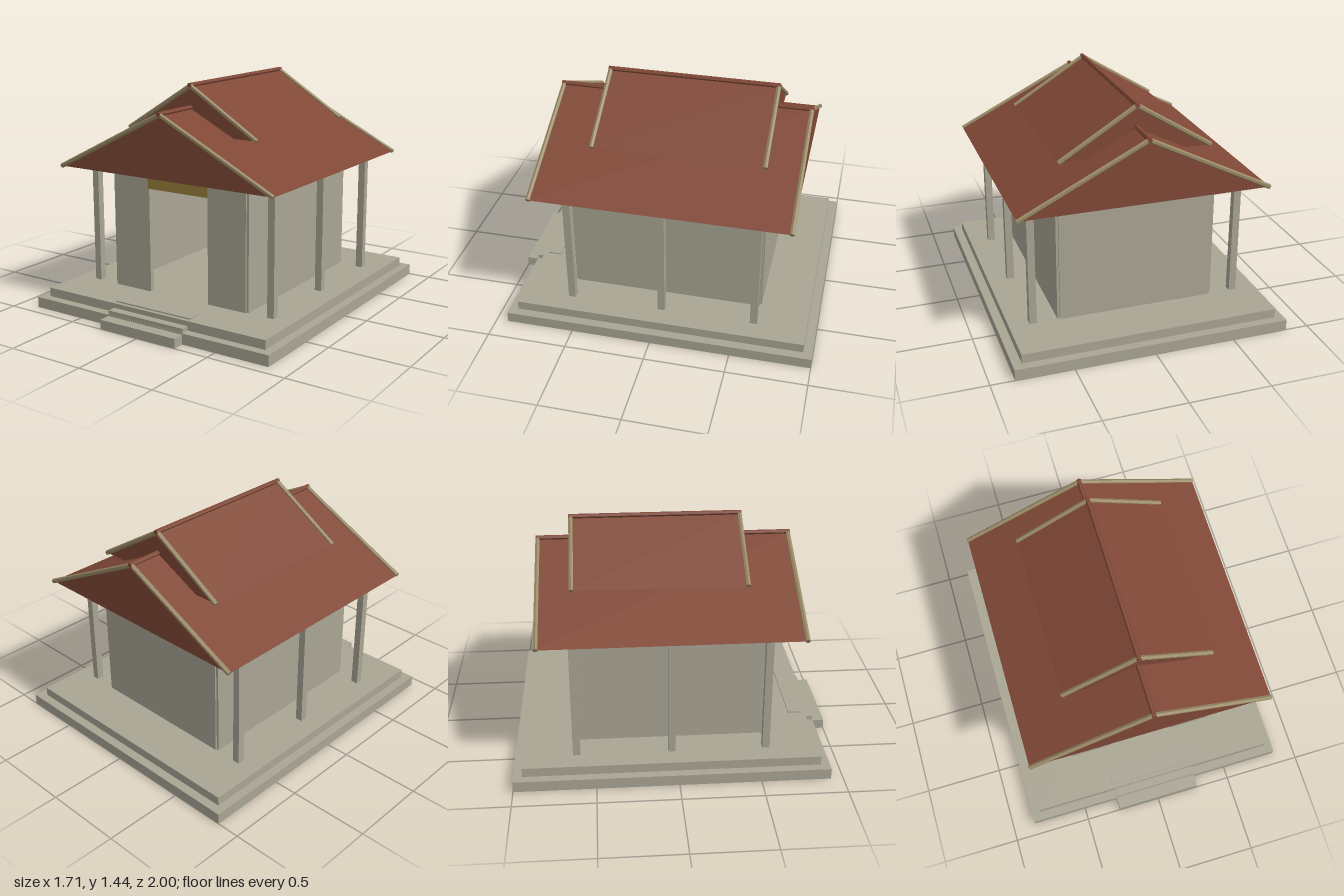
import * as THREE from 'three';

const stone = new THREE.MeshStandardMaterial({ color: 0xa9a594 });
const tile = new THREE.MeshStandardMaterial({ color: 0x804836, flatShading: true });
const trim = new THREE.MeshStandardMaterial({ color: 0x998a66, flatShading: true });
const gold = new THREE.MeshStandardMaterial({ color: 0x9a7f3c });

export function createModel() {
  const group = new THREE.Group();

  // Box given by its lower and upper limits on each axis
  const box = (name, [x0, x1], [y0, y1], [z0, z1], material = stone) => {
    const mesh = new THREE.Mesh(new THREE.BoxGeometry(x1 - x0, y1 - y0, z1 - z0), material);
    mesh.position.set((x0 + x1) / 2, (y0 + y1) / 2, (z0 + z1) / 2);
    mesh.name = name;
    group.add(mesh);
  };

  // Six-sided pole between two points
  const pole = (name, a, b, material, turn) => {
    const dir = b.clone().sub(a);
    const geometry = new THREE.CylinderGeometry(0.015, 0.015, dir.length(), 6);
    geometry.rotateY(turn);
    const mesh = new THREE.Mesh(geometry, material);
    mesh.position.copy(a).add(b).multiplyScalar(0.5);
    mesh.quaternion.setFromUnitVectors(new THREE.Vector3(0, 1, 0), dir.normalize());
    mesh.name = name;
    group.add(mesh);
  };

  // Closed gable prism with a ridge pole and verge poles
  const roof = (name, half, eave, apex, back, front) => {
    const shape = new THREE.Shape([
      new THREE.Vector2(-half, eave),
      new THREE.Vector2(half, eave),
      new THREE.Vector2(0, apex),
    ]);
    const body = new THREE.Mesh(
      new THREE.ExtrudeGeometry(shape, { depth: front - back, bevelEnabled: false }), tile);
    body.position.z = back;
    body.name = name;
    group.add(body);
    pole(name + 'Ridge', new THREE.Vector3(0, apex + 0.006, back - 0.013),
      new THREE.Vector3(0, apex + 0.006, front + 0.013), tile, Math.PI / 2);
    for (const z of [back, front]) for (const s of [-1, 1]) {
      pole(name + 'Verge', new THREE.Vector3(s * half, eave, z),
        new THREE.Vector3(0, apex + 0.003, z), trim, Math.PI / 2);
    }
  };

  // Two-tier platform
  box('lowerPlatform', [-0.855, 0.855], [0, 0.068], [-1, 0.925]);
  box('upperPlatform', [-0.8, 0.8], [0.068, 0.125], [-0.945, 0.87]);

  // Entrance steps
  [[0.06, 0.92, 1], [0.095, 0.84, 0.922], [0.133, 0.76, 0.845]].forEach(([top, z0, z1], i) =>
    box('step' + (i + 1), [-0.275, 0.275], [Math.max(0, top - 0.06), top], [z0, z1]));

  // Walls of the hall, with an open doorway in front
  const wallY = [0.125, 0.872];
  box('backWall', [-0.485, 0.485], wallY, [-0.642, -0.612]);
  for (const s of [-1, 1]) {
    const span = (a, b) => (s > 0 ? [a, b] : [-b, -a]);
    box('sideWall', span(0.47, 0.5), wallY, [-0.632, 0.567]);
    box('frontWall', span(0.217, 0.485), wallY, [0.547, 0.577]);

    // Veranda posts
    for (const z of [-0.618, -0.034, 0.548]) {
      box('post', span(0.63, 0.675), [0.125, 0.905], [z - 0.0225, z + 0.0225]);
    }
  }
  box('doorLintel', [-0.222, 0.222], [0.79, 0.873], [0.541, 0.583], gold);

  // Two stacked roofs
  roof('mainRoof', 0.77, 0.9, 1.285, -0.821, 0.747);
  roof('upperRoof', 0.47, 1.13, 1.42, -0.613, 0.436);

  return group;
}
